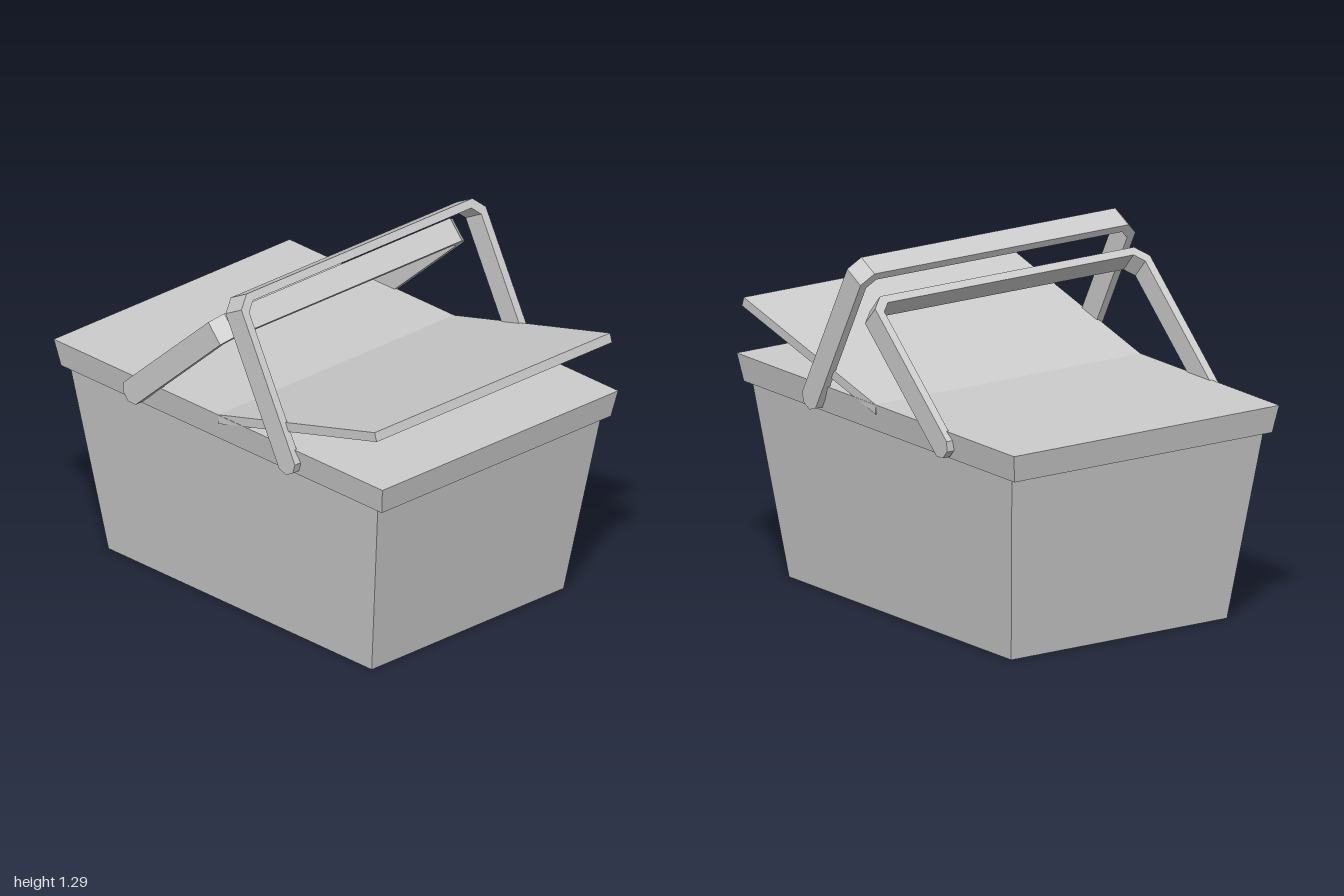
import * as THREE from 'three';

const material = new THREE.MeshStandardMaterial({ color: 0xcccccc, flatShading: true });
const rad = THREE.MathUtils.degToRad;

function part(name, geometry) {
  const mesh = new THREE.Mesh(geometry, material);
  mesh.name = name;
  return mesh;
}

// Box between y0 and y1 whose half sizes differ at bottom and top
function taperedBox(y0, y1, bottom, top) {
  const geo = new THREE.BoxGeometry(2, 1, 2);
  const p = geo.attributes.position;
  for (let i = 0; i < p.count; i++) {
    const [hx, hz] = p.getY(i) > 0 ? top : bottom;
    p.setXYZ(i, p.getX(i) * hx, p.getY(i) > 0 ? y1 : y0, p.getZ(i) * hz);
  }
  geo.computeVertexNormals();
  return geo;
}

function extrudeCentred(points, depth) {
  const shape = new THREE.Shape(points.map(([x, y]) => new THREE.Vector2(x, y)));
  return new THREE.ExtrudeGeometry(shape, { depth, bevelEnabled: false }).translate(0, 0, -depth / 2);
}

// Flat strip bent into a U, with clipped corners and octagonal feet
function handle(name, x, lean) {
  const outer = 0.59, length = 0.6, thick = 0.03, width = 0.09, clip = 0.045;
  const inner = outer - thick, under = length - thick, c2 = clip - 0.012;
  const half = [
    [outer, 0], [outer, length - clip], [outer - clip, length],
  ];
  const halfIn = [
    [inner - c2, under], [inner, under - c2], [inner, 0],
  ];
  const mirror = (pts) => pts.map(([a, b]) => [-a, b]).reverse();
  const outline = [...half, ...mirror(half), ...mirror(halfIn), ...halfIn];

  const group = new THREE.Group();
  group.name = name;
  group.add(part('handleStrip', extrudeCentred(outline, width).rotateY(Math.PI / 2)));
  for (const side of [-1, 1]) {
    const foot = new THREE.CylinderGeometry(0.0487, 0.0487, thick, 8);
    foot.rotateY(Math.PI / 8).rotateX(Math.PI / 2);
    foot.translate(0, 0, side * (outer - thick / 2));
    group.add(part('handleFoot', foot));
  }
  group.position.set(x, 0.742, 0);
  group.rotation.z = rad(lean);
  return group;
}

export function createModel() {
  const model = new THREE.Group();
  model.name = 'picnicBasket';

  const basket = new THREE.Group();
  basket.name = 'basket';
  basket.rotation.y = rad(-40);
  model.add(basket);

  // Body and overhanging rim
  basket.add(part('body', taperedBox(0, 0.7, [0.6625, 0.463], [0.775, 0.541])));
  basket.add(part('rim', taperedBox(0.69, 0.79, [0.807, 0.553], [0.827, 0.569])));

  // Half lid, hinged at the middle and slightly open
  const lid = [[0, 0.755], [0.797, 0.967], [0.787, 1.0], [0, 0.79]];
  basket.add(part('openLid', extrudeCentred(lid, 1.136)));

  // Two handles leaning towards each other
  basket.add(handle('lowHandle', -0.41, -48));
  basket.add(handle('highHandle', 0.36, 28));

  return model;
}
